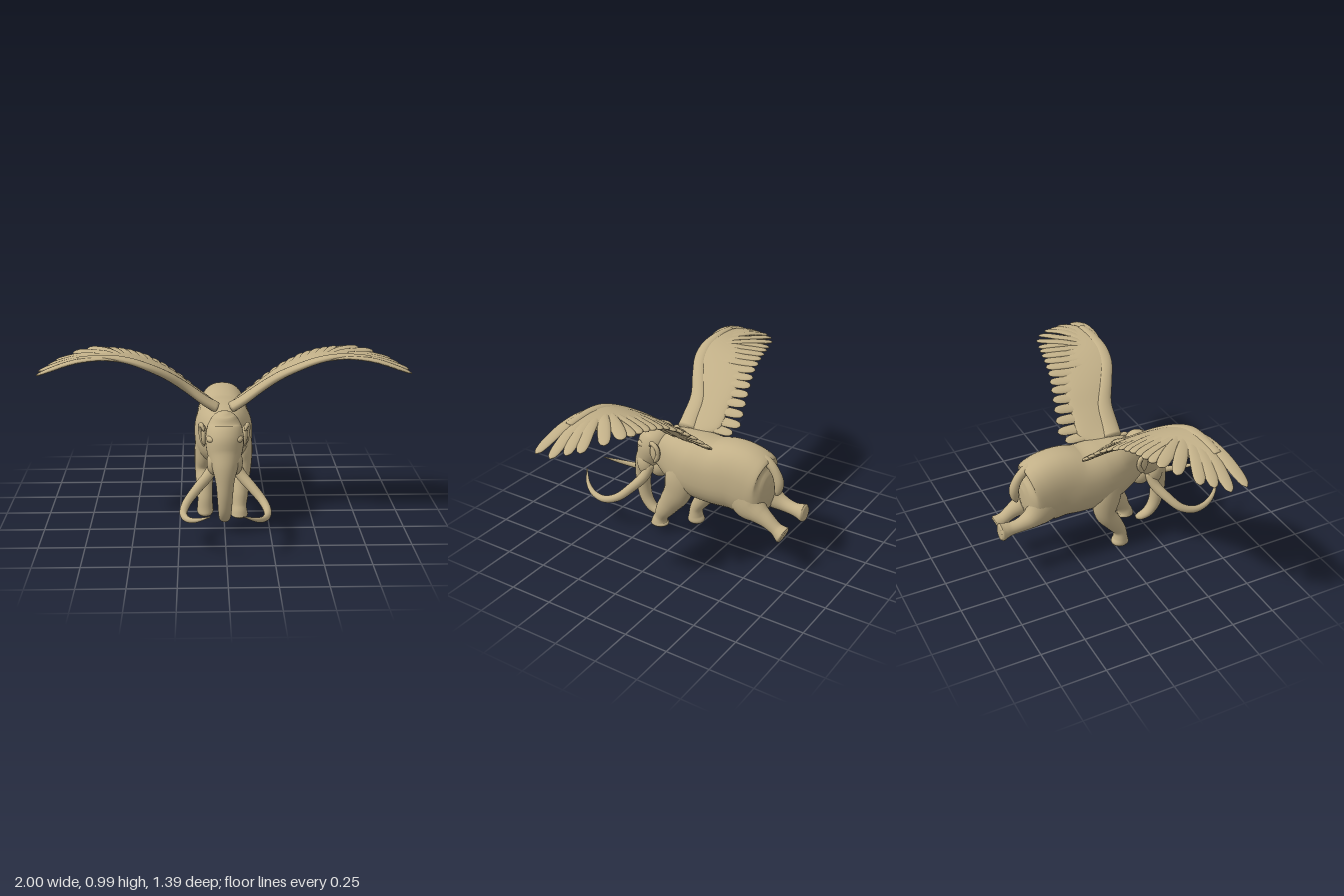
import * as THREE from 'three';

const V = (x, y, z) => new THREE.Vector3(x, y, z);

// Smooth closed loft. Rings are [x, y, z, a, b]: centre, half size along the
// side direction (tangent x ref, or a fixed side) and half size across it.
function loft(rings, { ref = V(1, 0, 0), side = null, steps = 5, segs = 20, pow = 1 } = {}) {
  const path = new THREE.CatmullRomCurve3(rings.map(r => V(r[0], r[1], r[2])));
  const size = new THREE.CatmullRomCurve3(rings.map(r => V(r[3], r[4], 0)), false, 'catmullrom', 0.5);
  const n = (rings.length - 1) * steps, pos = [], idx = [];
  const bend = v => Math.sign(v) * Math.abs(v) ** pow;
  for (let i = 0; i <= n; i++) {
    const c = path.getPoint(i / n), s = size.getPoint(i / n), t = path.getTangent(i / n);
    const u = side ? side.clone() : t.clone().cross(ref).normalize();
    const w = u.clone().cross(t).normalize();
    for (let j = 0; j < segs; j++) {
      const q = j / segs * Math.PI * 2;
      const p = c.clone().addScaledVector(u, bend(Math.cos(q)) * Math.max(s.x, 0.001))
        .addScaledVector(w, bend(Math.sin(q)) * Math.max(s.y, 0.001));
      pos.push(p.x, p.y, p.z);
    }
  }
  for (let i = 0; i < n; i++) for (let j = 0; j < segs; j++) {
    const k = (j + 1) % segs, a = i * segs, b = a + segs;
    idx.push(a + j, b + j, a + k, b + j, b + k, a + k);
  }
  const c0 = pos.length / 3, last = n * segs;
  pos.push(...path.getPoint(0).toArray(), ...path.getPoint(1).toArray());
  for (let j = 0; j < segs; j++) {
    const k = (j + 1) % segs;
    idx.push(c0, j, k, c0 + 1, last + k, last + j);
  }
  const g = new THREE.BufferGeometry();
  g.setAttribute('position', new THREE.Float32BufferAttribute(pos, 3));
  g.setIndex(idx);
  g.computeVertexNormals();
  return g;
}

// Piecewise linear lookup in [x, value] pairs
function lookup(table, x) {
  for (let i = 1; i < table.length; i++) {
    const [x0, v0] = table[i - 1], [x1, v1] = table[i];
    if (x <= x1 || i === table.length - 1) return v0 + (v1 - v0) * (x - x0) / (x1 - x0);
  }
}

// Wing height, leading edge, panel rear edge and feather tip line along the span
const HEIGHT = [[0.04, 0.65], [0.14, 0.715], [0.25, 0.812], [0.33, 0.873], [0.45, 0.94],
  [0.55, 0.968], [0.65, 0.98], [0.8, 0.968], [0.9, 0.94], [1, 0.903]];
const LEAD = [[0.04, 0.105], [0.2, 0.125], [0.3, 0.18], [0.4, 0.23], [0.5, 0.247], [0.8, 0.24]];
const REAR = [[0.04, -0.06], [0.1, -0.12], [0.3, -0.11], [0.5, -0.07], [0.65, 0.0], [0.8, 0.16]];
const TIPS = [[0.1, -0.195], [0.16, -0.225], [0.27, -0.195], [0.43, -0.15], [0.62, -0.118], [0.7, -0.1]];

export function createModel() {
  const model = new THREE.Group();
  model.name = 'wingedMammoth';
  const hide = new THREE.MeshStandardMaterial({ color: 0xc2b088 });
  hide.name = 'tan';
  const add = (name, geometry, parent = model) => {
    const m = new THREE.Mesh(geometry, hide);
    m.name = name;
    parent.add(m);
    return m;
  };
  const blob = (name, x, y, z, a, b, c, parent) => {
    const m = add(name, new THREE.SphereGeometry(1, 24, 16), parent);
    m.position.set(x, y, z);
    m.scale.set(a, b, c);
  };

  // Body: z, top, bottom, half width
  const body = [[0.2, 0.61, 0.4, 0.08], [0.13, 0.642, 0.355, 0.115], [0.05, 0.66, 0.32, 0.148],
    [-0.05, 0.66, 0.285, 0.165], [-0.18, 0.655, 0.272, 0.16], [-0.3, 0.68, 0.275, 0.148],
    [-0.4, 0.662, 0.262, 0.142], [-0.47, 0.61, 0.272, 0.132], [-0.505, 0.545, 0.335, 0.095],
    [-0.52, 0.49, 0.39, 0.03]];
  add('body', loft(body.map(([z, t, b, w]) => [0, (t + b) / 2, z, w, (t - b) / 2]),
    { ref: V(0, 1, 0), segs: 36, pow: 0.85 }));

  // Head running down into the trunk
  add('headAndTrunk', loft([[0, 0.665, 0.21, 0.02, 0.02], [0, 0.645, 0.207, 0.055, 0.058],
    [0, 0.59, 0.205, 0.085, 0.092], [0, 0.52, 0.24, 0.105, 0.105], [0, 0.45, 0.272, 0.09, 0.095],
    [0, 0.38, 0.315, 0.065, 0.07], [0, 0.3, 0.335, 0.049, 0.05], [0, 0.21, 0.335, 0.042, 0.042],
    [0, 0.13, 0.315, 0.037, 0.037], [0, 0.08, 0.275, 0.03, 0.033], [0, 0.063, 0.23, 0.022, 0.028],
    [0, 0.062, 0.2, 0.012, 0.015]], { segs: 28 }));
  blob('lowerJaw', 0, 0.38, 0.22, 0.06, 0.07, 0.065);

  // Tail
  add('tail', loft([[0, 0.62, -0.41, 0.04, 0.04], [0, 0.61, -0.49, 0.027, 0.028],
    [0, 0.56, -0.54, 0.026, 0.026], [0, 0.5, -0.563, 0.028, 0.027],
    [0, 0.45, -0.56, 0.022, 0.02], [0, 0.42, -0.55, 0.008, 0.008]], { segs: 14 }));

  // Galloping legs
  add('frontLeftLeg', loft([[0.09, 0.5, 0, 0.07, 0.06], [0.1, 0.4, 0.01, 0.095, 0.063],
    [0.1, 0.31, 0.03, 0.085, 0.058], [0.09, 0.22, 0.085, 0.068, 0.053], [0.088, 0.15, 0.13, 0.054, 0.047],
    [0.085, 0.1, 0.155, 0.041, 0.04], [0.085, 0.07, 0.165, 0.047, 0.045], [0.085, 0.05, 0.165, 0.055, 0.048],
    [0.085, 0.041, 0.165, 0.044, 0.038]]));
  add('frontRightLeg', loft([[-0.1, 0.46, -0.02, 0.08, 0.06], [-0.108, 0.34, -0.055, 0.085, 0.058],
    [-0.11, 0.25, -0.06, 0.062, 0.054], [-0.11, 0.17, -0.01, 0.05, 0.048], [-0.107, 0.1, 0.032, 0.039, 0.042],
    [-0.107, 0.05, 0.037, 0.043, 0.045], [-0.107, 0.02, 0.035, 0.053, 0.047], [-0.107, 0.004, 0.034, 0.044, 0.038]]));
  add('hindLeftLeg', loft([[0.075, 0.46, -0.37, 0.11, 0.06], [0.078, 0.37, -0.42, 0.105, 0.064],
    [0.082, 0.33, -0.49, 0.065, 0.055], [0.085, 0.3, -0.55, 0.044, 0.042], [0.085, 0.268, -0.6, 0.037, 0.037],
    [0.085, 0.253, -0.625, 0.045, 0.042], [0.085, 0.243, -0.643, 0.052, 0.047], [0.085, 0.239, -0.652, 0.043, 0.037]]));
  add('hindRightLeg', loft([[-0.075, 0.46, -0.37, 0.11, 0.06], [-0.078, 0.39, -0.43, 0.1, 0.064],
    [-0.082, 0.345, -0.5, 0.06, 0.055], [-0.084, 0.325, -0.56, 0.042, 0.041], [-0.083, 0.315, -0.62, 0.037, 0.037],
    [-0.083, 0.312, -0.66, 0.045, 0.043], [-0.083, 0.31, -0.682, 0.052, 0.048], [-0.083, 0.31, -0.693, 0.043, 0.038]]));

  for (const [s, label] of [[1, 'left'], [-1, 'right']]) {
    // Long curved tusk, its socket and the brow above the eye
    const tusk = [[0.05, 0.4, 0.25, 0.03], [0.085, 0.33, 0.27, 0.03], [0.15, 0.265, 0.32, 0.027],
      [0.205, 0.21, 0.38, 0.024], [0.225, 0.182, 0.46, 0.021], [0.207, 0.182, 0.55, 0.017],
      [0.16, 0.205, 0.63, 0.012], [0.085, 0.25, 0.695, 0.003]];
    add(label + 'Tusk', loft(tusk.map(([x, y, z, r]) => [s * x, y, z, r, r]), { ref: V(0, 1, 0), segs: 14 }));
    blob(label + 'TuskSocket', s * 0.058, 0.4, 0.28, 0.04, 0.07, 0.05);
    blob(label + 'Brow', s * 0.07, 0.535, 0.28, 0.03, 0.022, 0.04);

    // Ear: flap with a folded rim, wide on top and pointed below
    const ear = new THREE.Group();
    ear.name = label + 'Ear';
    ear.position.set(s * 0.112, 0.522, 0.172);
    model.add(ear);
    blob('earFlap', 0, 0, 0, 0.016, 0.058, 0.034, ear);
    add('earRim', loft([[0, 0.035, 0.035, 0.006, 0.006], [s * 0.012, 0.06, 0.015, 0.013, 0.012],
      [s * 0.02, 0.045, -0.022, 0.014, 0.013], [s * 0.018, 0.005, -0.032, 0.013, 0.012],
      [s * 0.01, -0.035, -0.015, 0.013, 0.012], [0, -0.062, 0.008, 0.006, 0.006]], { segs: 12 }), ear);

    // Wing: covert panel, leading edge arm, then feathers
    const wing = new THREE.Group();
    wing.name = label + 'Wing';
    model.add(wing);
    const xs = [0.04, 0.1, 0.2, 0.3, 0.4, 0.5, 0.6, 0.7, 0.78];
    add('coverts', loft(xs.map(x => {
      const l = lookup(LEAD, x), r = lookup(REAR, x);
      return [s * x, lookup(HEIGHT, x) - 0.014, (l + r) / 2, (l - r) / 2, 0.022 - 0.014 * x];
    }), { side: V(0, 0.1, 1).normalize(), segs: 28 }), wing);
    add('wingArm', loft(xs.map(x => {
      const r = 0.029 - 0.024 * x;
      return [s * x, lookup(HEIGHT, x) - 0.003, lookup(LEAD, x) - r * 1.6, r * 2, r];
    }), { side: V(0, 0, 1), segs: 16 }), wing);

    // Flat blade laid on the wing surface from base to tip
    const feather = (name, x0, z0, x1, z1, w, droop) => {
      const rings = [[0, 0.6], [0.3, 0.9], [0.6, 1], [0.85, 0.92], [0.96, 0.62], [1, 0.1]].map(([t, k]) => {
        const x = x0 + (x1 - x0) * t;
        return [s * x, lookup(HEIGHT, x) - 0.008 - droop * t, z0 + (z1 - z0) * t, w * k, 0.002 + 0.009 * k];
      });
      const xm = (x0 + x1) / 2;
      const slope = (lookup(HEIGHT, xm + 0.03) - lookup(HEIGHT, xm - 0.03)) / 0.06;
      add(name, loft(rings, { ref: V(s * (-slope + 0.2), 1, 0).normalize(), segs: 12, steps: 3 }), wing);
    };
    for (let i = 0; i < 13; i++) {
      const x = 0.11 + i * 0.0475;
      feather('secondaryFeather', x * 0.88 - 0.01, 0.04 + 0.1 * i / 12, x, lookup(TIPS, x), 0.031, 0.038 - 0.0015 * i);
    }
    const primaries = [[0.56, 0.14, 0.75, -0.085], [0.58, 0.16, 0.83, -0.035], [0.6, 0.18, 0.92, 0.045],
      [0.6, 0.195, 0.955, 0.105], [0.58, 0.21, 1, 0.17], [0.5, 0.22, 0.998, 0.262]];
    for (const p of primaries) feather('primaryFeather', ...p, 0.035, 0.008);
  }
  return model;
}
